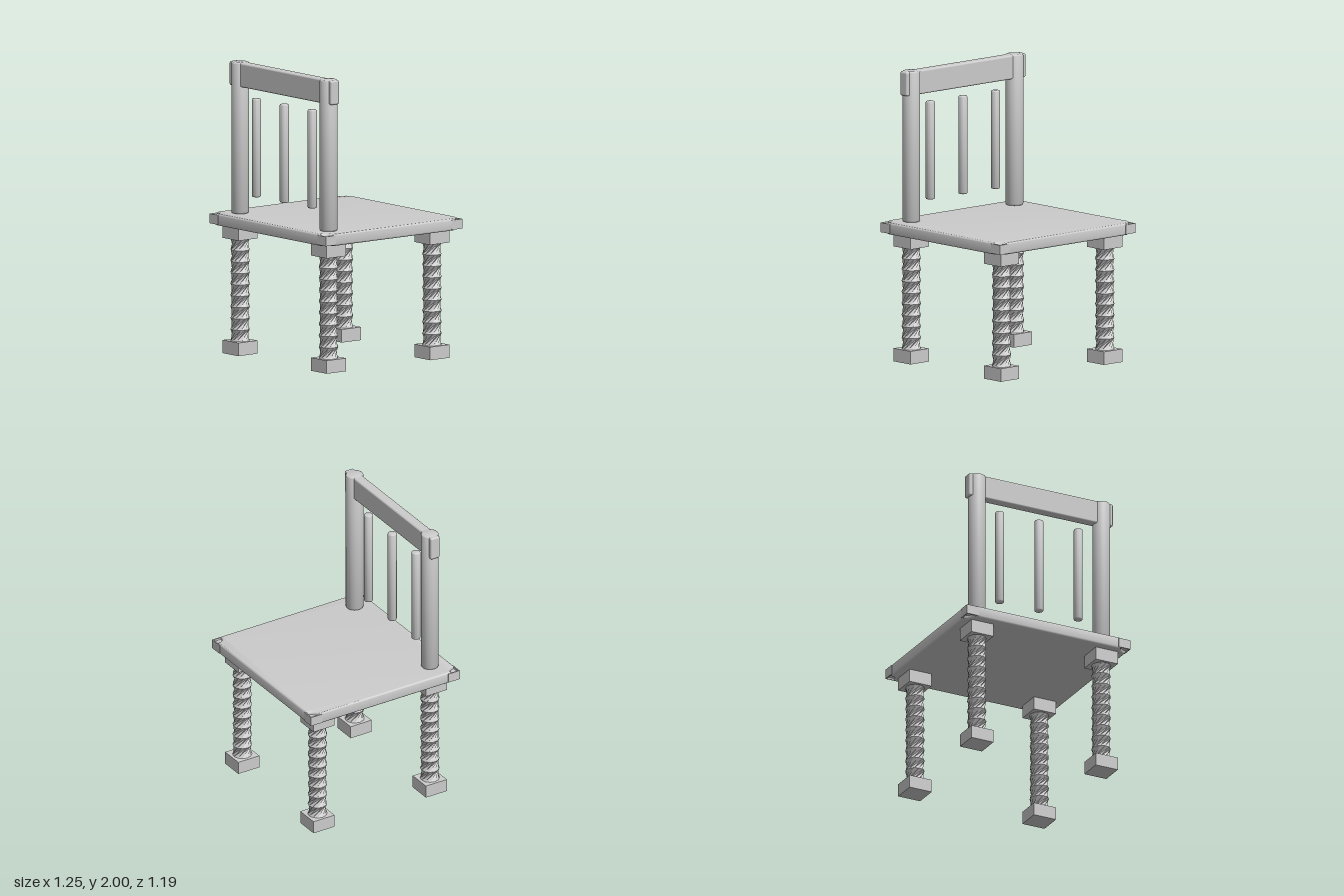
import * as THREE from 'three';
import { RoundedBoxGeometry } from 'three/addons/geometries/RoundedBoxGeometry.js';
import { toCreasedNormals } from 'three/addons/utils/BufferGeometryUtils.js';

const smooth = new THREE.MeshStandardMaterial({ color: 0xcccccc });
const faceted = new THREE.MeshStandardMaterial({ color: 0xcccccc, flatShading: true });

const LEG_X = 0.475, LEG_Z = 0.45;
const SEAT_X = 0.625, SEAT_Z = 0.595;

export function createModel() {
  const chair = new THREE.Group();
  chair.name = 'chair';

  function add(name, geometry, x, y, z, material = smooth, parent = chair) {
    const mesh = new THREE.Mesh(geometry, material);
    mesh.name = name;
    mesh.position.set(x, y, z);
    parent.add(mesh);
    return mesh;
  }

  // Upright turned rod with softened ends, standing on y = 0
  function rod(radius, height, bevel) {
    const points = [
      [0, 0], [radius - bevel, 0], [radius - bevel * 0.3, bevel * 0.3], [radius, bevel],
      [radius, height - bevel], [radius - bevel * 0.3, height - bevel * 0.3],
      [radius - bevel, height], [0, height],
    ].map(([x, y]) => new THREE.Vector2(x, y));
    return toCreasedNormals(new THREE.LatheGeometry(points, 32), 0.9);
  }

  // Seat slab with a scooped notch at each corner
  const notch = 0.06, bevel = 0.014, inset = 0.004;
  const sx = SEAT_X - inset, sz = SEAT_Z - inset;
  const outline = new THREE.Shape();
  outline.moveTo(-sx + notch, -sz);
  outline.lineTo(sx - notch, -sz);
  outline.absarc(sx, -sz, notch, Math.PI, Math.PI / 2, true);
  outline.lineTo(sx, sz - notch);
  outline.absarc(sx, sz, notch, -Math.PI / 2, -Math.PI, true);
  outline.lineTo(-sx + notch, sz);
  outline.absarc(-sx, sz, notch, 0, -Math.PI / 2, true);
  outline.lineTo(-sx, -sz + notch);
  outline.absarc(-sx, -sz, notch, Math.PI / 2, 0, true);
  const slab = new THREE.ExtrudeGeometry(outline, {
    depth: 0.083 - 2 * bevel, bevelEnabled: true, bevelThickness: bevel,
    bevelSize: bevel, bevelOffset: -bevel, bevelSegments: 3, curveSegments: 6,
  });
  slab.rotateX(-Math.PI / 2);
  add('seat', toCreasedNormals(slab, 0.6), 0, 0.88 + bevel, 0);

  // Sunken filler and thin upright rims that close each seat corner
  const fillSize = 0.09, rim = 0.008;
  for (const x of [-1, 1]) {
    for (const z of [-1, 1]) {
      const corner = new THREE.Group();
      corner.name = 'seatCorner';
      chair.add(corner);
      add('cornerFill', new THREE.BoxGeometry(fillSize, 0.04, fillSize),
        x * (SEAT_X - fillSize / 2), 0.92, z * (SEAT_Z - fillSize / 2), smooth, corner);
      add('cornerRim', new THREE.BoxGeometry(rim, 0.066, fillSize),
        x * (SEAT_X - rim / 2), 0.921, z * (SEAT_Z - fillSize / 2), smooth, corner);
      add('cornerRim', new THREE.BoxGeometry(fillSize, 0.066, rim),
        x * (SEAT_X - fillSize / 2), 0.921, z * (SEAT_Z - rim / 2), smooth, corner);
    }
  }

  // Rope-like leg shaft: each ring of a faceted cylinder is turned past the one below
  const shaftHeight = 0.7, rings = 9, twistPerRing = 1.0;
  const shaft = new THREE.CylinderGeometry(0.066, 0.066, shaftHeight, 12, rings, true);
  const position = shaft.attributes.position;
  const point = new THREE.Vector3(), up = new THREE.Vector3(0, 1, 0);
  for (let i = 0; i < position.count; i++) {
    point.fromBufferAttribute(position, i);
    point.applyAxisAngle(up, (point.y / shaftHeight + 0.5) * rings * twistPerRing);
    position.setXYZ(i, point.x, point.y, point.z);
  }
  shaft.computeVertexNormals();
  const block = new THREE.BoxGeometry(0.168, 0.09, 0.168);

  for (const x of [-LEG_X, LEG_X]) {
    for (const z of [-LEG_Z, LEG_Z]) {
      const leg = new THREE.Group();
      leg.name = 'leg';
      leg.position.set(x, 0, z);
      chair.add(leg);
      add('foot', block, 0, 0.045, 0, faceted, leg);
      add('twistedShaft', shaft, 0, 0.44, 0, faceted, leg);
      add('legBlock', block, 0, 0.835, 0, faceted, leg);
    }
  }

  // Backrest: two posts, a rail across their tops and three free spindles
  const post = rod(0.06, 1.037, 0.01);
  for (const x of [-LEG_X, LEG_X]) add('backPost', post, x, 0.963, LEG_Z);
  add('topRail', new RoundedBoxGeometry(1.1, 0.165, 0.072, 3, 0.012), 0, 1.9165, LEG_Z);
  const spindle = rod(0.031, 0.675, 0.009);
  for (const x of [-0.3, 0, 0.3]) add('spindle', spindle, x, 1.095, LEG_Z);

  return chair;
}
